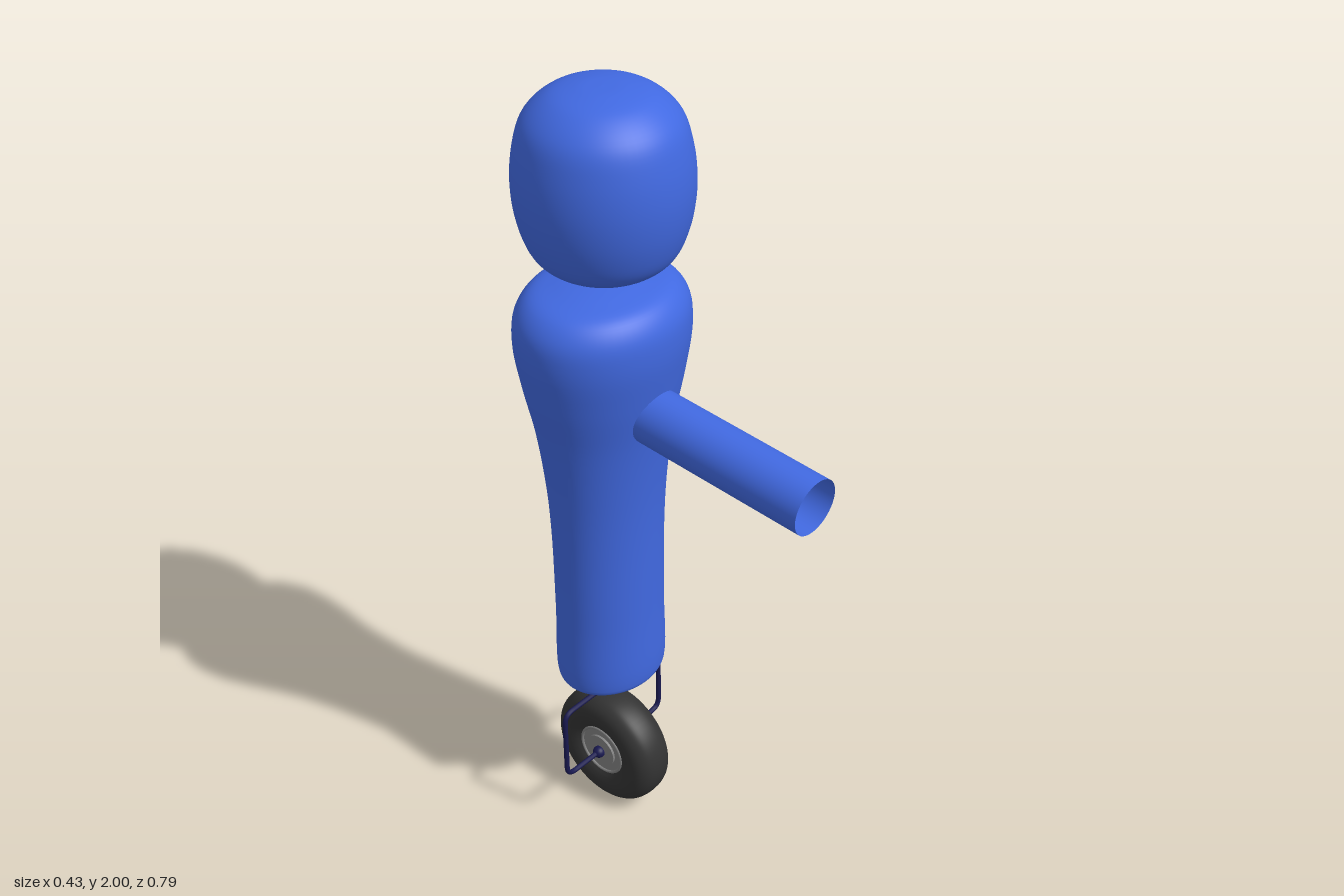
import * as THREE from 'three';

const v3 = (x, y, z = 0) => new THREE.Vector3(x, y, z);

// Smooth lathe through a few [radius, y] points, bottom to top
function turned(points, samples = 60, segments = 64) {
  const curve = new THREE.CatmullRomCurve3(points.map(([r, y]) => v3(r, y)), false, 'centripetal');
  const profile = curve.getPoints(samples).map(p => new THREE.Vector2(Math.max(p.x, 0), p.y));
  return new THREE.LatheGeometry(profile, segments);
}

// Closed rounded rectangle path in the xy plane
function roundedLoop(hw, y0, y1, r) {
  const path = new THREE.CurvePath();
  const corners = [[-hw, y0], [hw, y0], [hw, y1], [-hw, y1]].map(([x, y]) => v3(x, y));
  const toward = (a, b) => a.clone().add(b.clone().sub(a).setLength(r));
  corners.forEach((c, i) => {
    const prev = corners[(i + 3) % 4], next = corners[(i + 1) % 4];
    path.add(new THREE.QuadraticBezierCurve3(toward(c, prev), c, toward(c, next)));
    path.add(new THREE.LineCurve3(toward(c, next), toward(next, c)));
  });
  return path;
}

export function createModel() {
  const mat = (name, color, side = THREE.FrontSide) => {
    const m = new THREE.MeshStandardMaterial({ color, side });
    m.name = name;
    return m;
  };
  const blue = mat('royal blue', 0x4169e1, THREE.DoubleSide);
  const navy = mat('dark navy', 0x191950);
  const rubber = mat('black rubber', 0x333333);
  const grey = mat('hub grey', 0x808080);

  const model = new THREE.Group();
  model.name = 'wheeledFigure';
  const add = (name, geometry, material, parent = model, x = 0, y = 0, z = 0) => {
    const mesh = new THREE.Mesh(geometry, material);
    mesh.name = name;
    mesh.position.set(x, y, z);
    parent.add(mesh);
    return mesh;
  };
  const Z = -0.21;

  // Head and neck
  add('head', turned([[0, 1.56], [0.03, 1.566], [0.11, 1.594], [0.155, 1.628], [0.182, 1.69], [0.195, 1.78],
    [0.187, 1.87], [0.165, 1.935], [0.115, 1.98], [0.055, 1.997], [0, 2]]), blue, model, 0, 0, -0.197);
  add('neck', new THREE.CylinderGeometry(0.025, 0.025, 0.06, 32), blue, model, 0, 1.56, -0.197);

  // Torso: an oval turned shape, flatter front to back
  const torso = turned([[0, 0.412], [0.03, 0.418], [0.105, 0.431], [0.135, 0.44], [0.143, 0.455], [0.143, 0.65],
    [0.145, 0.88], [0.153, 1.02], [0.173, 1.18], [0.2, 1.31], [0.216, 1.42], [0.208, 1.485],
    [0.175, 1.525], [0.11, 1.543], [0.03, 1.553], [0, 1.555]], 90);
  add('torso', torso, blue, model, 0, 0, Z).scale.z = 0.84;

  // Single hollow arm pointing forward, dipping slightly
  const armFrom = v3(0, 1.258, -0.12), armTo = v3(0, 1.23, 0.392);
  const arm = add('arm', new THREE.CylinderGeometry(0.067, 0.067, armFrom.distanceTo(armTo), 48, 1, true), blue);
  arm.position.copy(armFrom).lerp(armTo, 0.5);
  arm.quaternion.setFromUnitVectors(v3(0, 1, 0), armTo.clone().sub(armFrom).normalize());

  // Wheel, turned about the x axis
  const wheel = new THREE.Group();
  wheel.name = 'wheel';
  wheel.position.set(0, 0.165, Z);
  wheel.rotation.z = Math.PI / 2;
  model.add(wheel);
  add('tyre', turned([[0.07, -0.046], [0.085, -0.054], [0.11, -0.059], [0.138, -0.052], [0.156, -0.033], [0.162, 0],
    [0.156, 0.033], [0.138, 0.052], [0.11, 0.059], [0.085, 0.054], [0.07, 0.046]]), rubber, wheel);
  add('hub', new THREE.CylinderGeometry(0.071, 0.071, 0.09, 48), grey, wheel);
  for (const s of [-1, 1]) {
    const rim = add('hubRim', new THREE.TorusGeometry(0.067, 0.004, 10, 48), grey, wheel, 0, s * 0.046, 0);
    rim.rotation.x = Math.PI / 2;
    add('hubBoss', new THREE.CylinderGeometry(0.045, 0.045, 0.008, 40), grey, wheel, 0, s * 0.047, 0);
    add('axleNut', new THREE.SphereGeometry(0.016, 24, 16), navy, wheel, 0, s * 0.056, 0);
  }

  // Wire frame around the wheel, its lower bar being the axle
  add('wheelFrame', new THREE.TubeGeometry(roundedLoop(0.172, 0.166, 0.374, 0.03), 240, 0.0065, 10, true),
    navy, model, 0, 0, Z);
  add('stem', new THREE.CylinderGeometry(0.006, 0.006, 0.06, 16), navy, model, 0, 0.395, Z);
  add('stemCollar', new THREE.CylinderGeometry(0.01, 0.01, 0.03, 16), navy, model, 0, 0.39, Z);
  const clamp = add('frameClamp', new THREE.CylinderGeometry(0.01, 0.01, 0.05, 16), navy, model, 0, 0.376, Z);
  clamp.rotation.z = Math.PI / 2;

  model.position.y = -0.002;
  return model;
}
